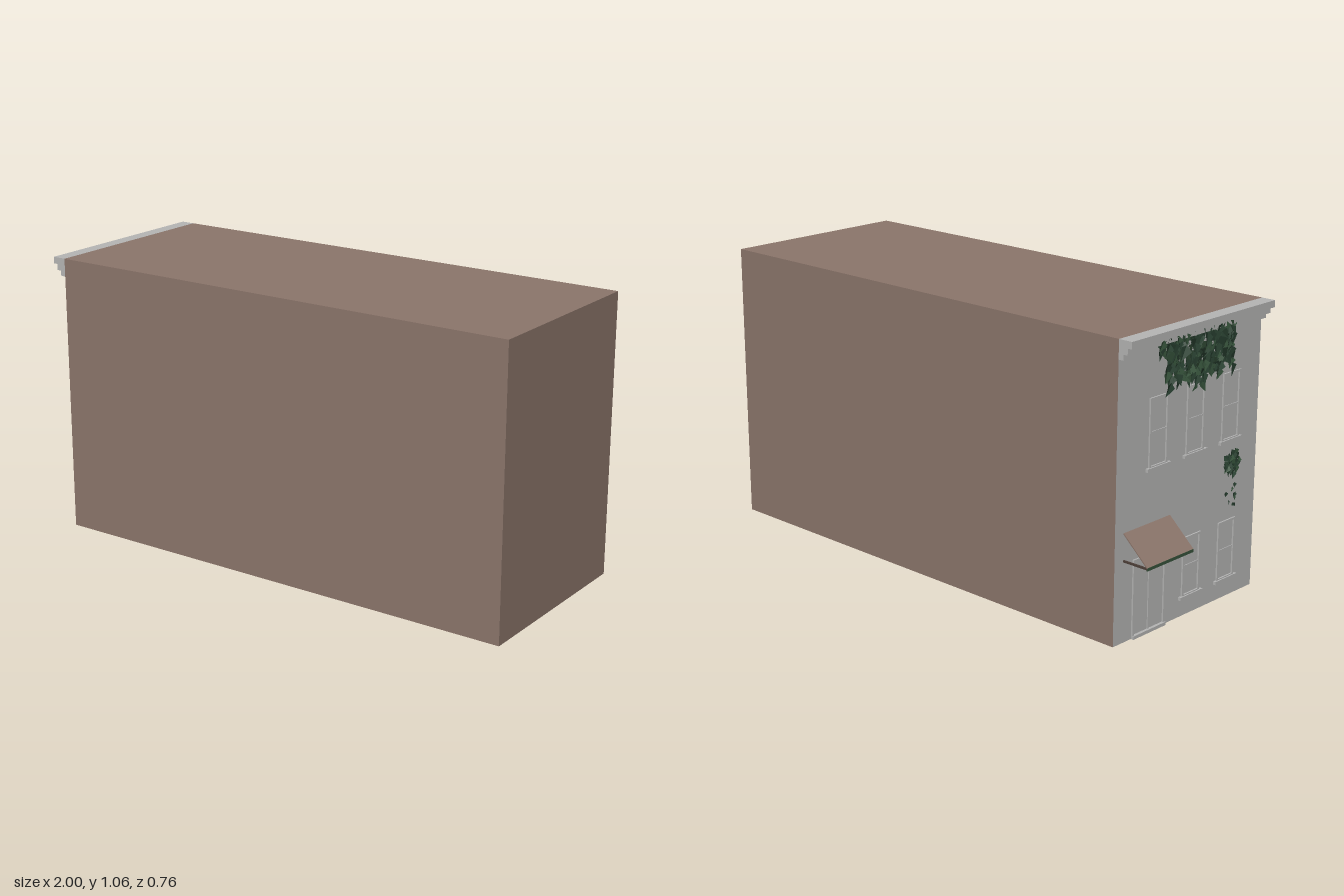
import * as THREE from 'three';
import { mergeGeometries } from 'three/addons/utils/BufferGeometryUtils.js';

const WALL = -0.895, BACK = 1, HALF = 0.378, TOP = 1.06;

const mat = (name, color, side = THREE.DoubleSide) => {
  const m = new THREE.MeshStandardMaterial({ color, side });
  m.name = name;
  return m;
};

export function createModel() {
  const group = new THREE.Group();
  const brown = mat('brown wall', 0x8c766b);
  const grey = mat('grey stucco', 0xb6b6b5);
  const timber = mat('dark timber', 0x4e4039);
  const darkGreen = mat('dark leaf green', 0x2a4232);
  const green = mat('leaf green', 0x36533b);

  const add = (name, geo, material, parent = group) => {
    const m = new THREE.Mesh(geo, material);
    m.name = name;
    parent.add(m);
    return m;
  };
  const box = (name, x0, x1, y0, y1, z0, z1, material, parent) => {
    const m = add(name, new THREE.BoxGeometry(x1 - x0, y1 - y0, z1 - z0), material, parent);
    m.position.set((x0 + x1) / 2, (y0 + y1) / 2, (z0 + z1) / 2);
    return m;
  };
  // A flat panel turned so that its width runs along z
  const panel = (name, w, h, x, y, z, rx, ry, material) => {
    const m = add(name, new THREE.PlaneGeometry(w, h), material);
    m.position.set(x, y, z);
    m.rotation.set(rx, ry, 0);
  };

  // Hollow building shell, open underneath
  const length = BACK - WALL, mid = (BACK + WALL) / 2;
  panel('frontWall', length, TOP, mid, TOP / 2, HALF, 0, 0, brown);
  panel('backWall', length, TOP, mid, TOP / 2, -HALF, 0, Math.PI, brown);
  panel('endWall', HALF * 2, TOP, BACK, TOP / 2, 0, 0, Math.PI / 2, brown);
  panel('roof', length, HALF * 2, mid, TOP, 0, -Math.PI / 2, 0, brown);
  panel('facade', HALF * 2, TOP, WALL, TOP / 2, 0, 0, -Math.PI / 2, grey);

  // Stepped cornice
  box('corniceTop', -0.949, WALL, 1.035, TOP, -HALF, HALF, grey);
  box('corniceMiddle', -0.932, WALL, 1.012, 1.035, -HALF, HALF, grey);
  box('corniceBottom', -0.915, WALL, 0.992, 1.012, -HALF, HALF, grey);

  // Raised casing around an opening
  const casing = (name, z, y0, y1, w, parent) => {
    const rect = (T, hw, a, b) => {
      const s = new T();
      s.moveTo(-hw, a); s.lineTo(hw, a); s.lineTo(hw, b); s.lineTo(-hw, b); s.closePath();
      return s;
    };
    const s = rect(THREE.Shape, w / 2, y0, y1);
    s.holes.push(rect(THREE.Path, w / 2 - 0.008, y0 + 0.004, y1 - 0.008));
    const g = new THREE.ExtrudeGeometry(s, { depth: 0.006, bevelEnabled: false });
    g.rotateY(-Math.PI / 2);
    add(name, g, grey, parent).position.set(WALL, 0, z);
  };

  // Windows with sills and glazing bars
  const windowAt = (z, y0, y1) => {
    const w = new THREE.Group();
    w.name = 'window';
    group.add(w);
    casing('windowCasing', z, y0, y1, 0.095, w);
    box('windowSill', WALL - 0.011, WALL, y0 - 0.012, y0, z - 0.06, z + 0.06, grey, w);
    box('windowBar', WALL - 0.003, WALL, (y0 + y1) / 2 - 0.003, (y0 + y1) / 2 + 0.003, z - 0.04, z + 0.04, grey, w);
  };
  for (const z of [-0.17, 0.025, 0.22]) windowAt(z, 0.59, 0.83);
  for (const z of [0.025, 0.22]) windowAt(z, 0.075, 0.29);

  // Double door
  casing('doorCasing', -0.2, 0, 0.285, 0.17);
  box('doorMeetingRail', WALL - 0.004, WALL, 0, 0.275, -0.203, -0.197, grey);
  box('doorStep', WALL - 0.011, WALL, 0, 0.012, -0.285, -0.115, grey);

  // Sloping awning with side arms and a valance
  const z0 = -0.335, z1 = -0.095, yLow = 0.297, yHigh = 0.392;
  const run = -0.999 - WALL, drop = yHigh - yLow;
  const sheet = box('awningSheet', -0.002, 0.002, -Math.hypot(run, drop) / 2, Math.hypot(run, drop) / 2, z0, z1, brown);
  sheet.position.set((WALL - 0.998) / 2, (yLow + yHigh) / 2, (z0 + z1) / 2);
  sheet.rotation.z = Math.atan2(run, drop);
  for (const z of [z0, z1 - 0.006]) box('awningArm', -0.998, WALL, 0.291, 0.298, z, z + 0.006, timber);
  box('awningValance', -1, -0.996, 0.288, 0.299, z0, z1, green);

  // Ivy: pointed, slightly folded leaves
  let seed = 7;
  const rnd = () => (seed = (seed * 16807) % 2147483647) / 2147483647;
  const leaf = (x, y, z, size) => {
    const g = new THREE.BufferGeometry();
    const w = size * 0.5;
    g.setAttribute('position', new THREE.Float32BufferAttribute([
      0, size * 0.5, 0, -w, 0.15 * size, w * 0.4, 0, -size * 0.8, 0,
      0, size * 0.5, 0, 0, -size * 0.8, 0, w, 0.15 * size, w * 0.4], 3));
    g.computeVertexNormals();
    g.rotateZ((rnd() - 0.5) * 1.6);
    g.rotateX((rnd() - 0.5) * 0.5);
    g.rotateY(-Math.PI / 2 + (rnd() - 0.5) * 0.9);
    g.translate(x, y, z);
    return g;
  };
  const ivy = (name, leaves) => [darkGreen, green].forEach((m, k) =>
    add(name, mergeGeometries(leaves.filter((_, i) => i % 3 === 0 ? k : !k)), m));

  // Curtain of strands hanging below the cornice
  const curtain = [];
  for (let i = 0; i < 20; i++) {
    const z = -0.215 + i * 0.0205;
    const end = i < 2 ? 0.97 : 0.815 + rnd() * 0.08;
    for (let y = 1.012; y > end; y -= 0.022)
      curtain.push(leaf(-0.925 + (rnd() - 0.5) * 0.014, y, z + (rnd() - 0.5) * 0.02, 0.032 + rnd() * 0.014));
  }
  ivy('hangingIvy', curtain);

  // Small clump on the wall, with a few loose leaves under it
  const clump = [];
  for (let i = 0; i < 26; i++) {
    const a = i * 2.4, r = Math.sqrt(i / 26);
    clump.push(leaf(-0.905, 0.5 + Math.sin(a) * r * 0.045, 0.228 + Math.cos(a) * r * 0.042, 0.026));
  }
  for (let i = 0; i < 7; i++)
    clump.push(leaf(-0.902, 0.415 - i * 0.012, 0.23 + (rnd() - 0.5) * 0.06, 0.016));
  ivy('wallIvy', clump);

  return group;
}
